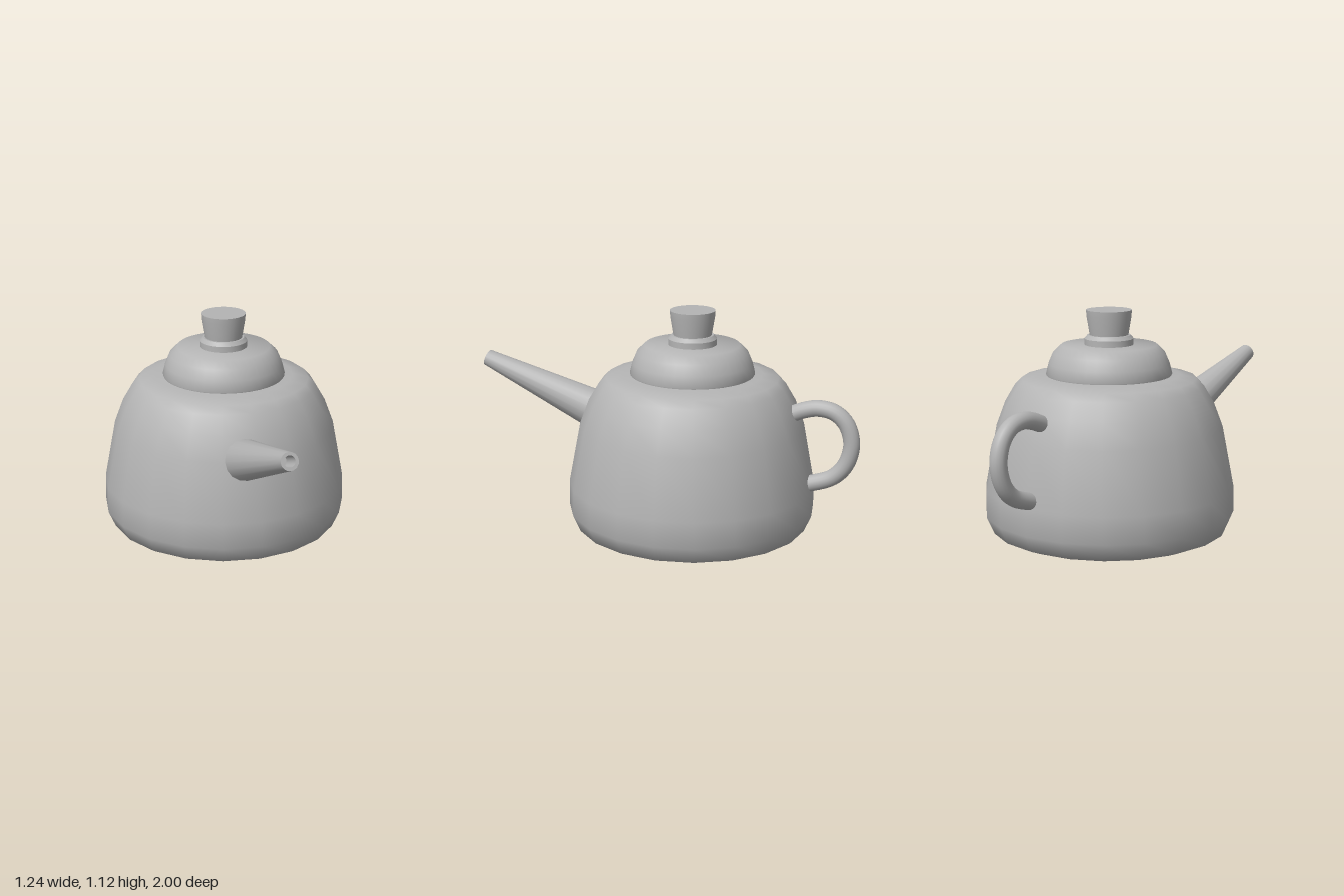
import * as THREE from 'three';
import { toCreasedNormals } from 'three/addons/utils/BufferGeometryUtils.js';

const CENTRE_Z = -0.153;

// Turned part from [radius, height] pairs, listed so the surface faces outwards
function turned(name, profile, sides, crease, material) {
  const points = profile.map(([r, y]) => new THREE.Vector2(r, y));
  const geometry = toCreasedNormals(new THREE.LatheGeometry(points, sides), crease);
  const mesh = new THREE.Mesh(geometry, material);
  mesh.name = name;
  return mesh;
}

export function createModel() {
  const group = new THREE.Group();
  group.name = 'teapot';
  const grey = new THREE.MeshStandardMaterial({ color: 0xb4b4b4 });
  grey.name = 'grey clay';

  // Pot body, a coarse twenty-sided turning
  const body = turned('body', [
    [0, 0], [0.52, 0.003], [0.585, 0.03], [0.62, 0.11], [0.617, 0.24],
    [0.56, 0.54], [0.515, 0.66], [0.465, 0.745], [0.43, 0.78], [0.35, 0.797], [0, 0.8],
  ], 20, 1.0, grey);

  // Domed lid
  const lid = turned('lid', [
    [0, 0.79], [0.305, 0.79], [0.31, 0.803], [0.297, 0.855], [0.275, 0.907],
    [0.235, 0.945], [0, 0.945],
  ], 40, 0.9, grey);

  // Collar and flared knob
  const collar = turned('collar', [
    [0, 0.94], [0.12, 0.94], [0.12, 0.975], [0.105, 0.993], [0, 0.993],
  ], 32, 0.5, grey);
  const knob = turned('knob', [
    [0, 0.985], [0.094, 0.985], [0.096, 1.0], [0.11, 1.085], [0.112, 1.115], [0, 1.115],
  ], 32, 0.5, grey);

  for (const part of [body, lid, collar, knob]) {
    part.position.z = CENTRE_Z;
    group.add(part);
  }

  // Tapered spout with a bored mouth, its tip at the local origin
  const spout = turned('spout', [
    [0, -0.72], [0.108, -0.72], [0.042, 0], [0.027, 0], [0.027, -0.12], [0, -0.12],
  ], 16, 0.7, grey);
  spout.position.set(-0.06, 0.772, 0.985);
  spout.rotation.x = Math.PI / 2 - 0.365;
  group.add(spout);

  // Looped handle at the back
  const path = [
    [0.63, -0.66], [0.655, -0.72], [0.67, -0.79], [0.655, -0.87], [0.6, -0.93],
    [0.5, -0.958], [0.395, -0.932], [0.325, -0.87], [0.285, -0.77], [0.275, -0.73],
  ].map(([y, z]) => new THREE.Vector3(-0.01, y, z));
  const handle = new THREE.Group();
  handle.name = 'handle';
  const tube = new THREE.Mesh(
    new THREE.TubeGeometry(new THREE.CatmullRomCurve3(path), 40, 0.041, 16), grey);
  tube.name = 'handleLoop';
  handle.add(tube);

  // Flat caps closing the handle ends
  [[0, 1], [path.length - 1, path.length - 2]].forEach(([end, next]) => {
    const cap = new THREE.Mesh(new THREE.CircleGeometry(0.041, 16), grey);
    cap.name = 'handleEnd';
    cap.position.copy(path[end]);
    const outward = path[end].clone().sub(path[next]).normalize();
    cap.quaternion.setFromUnitVectors(new THREE.Vector3(0, 0, 1), outward);
    handle.add(cap);
  });
  group.add(handle);

  return group;
}
